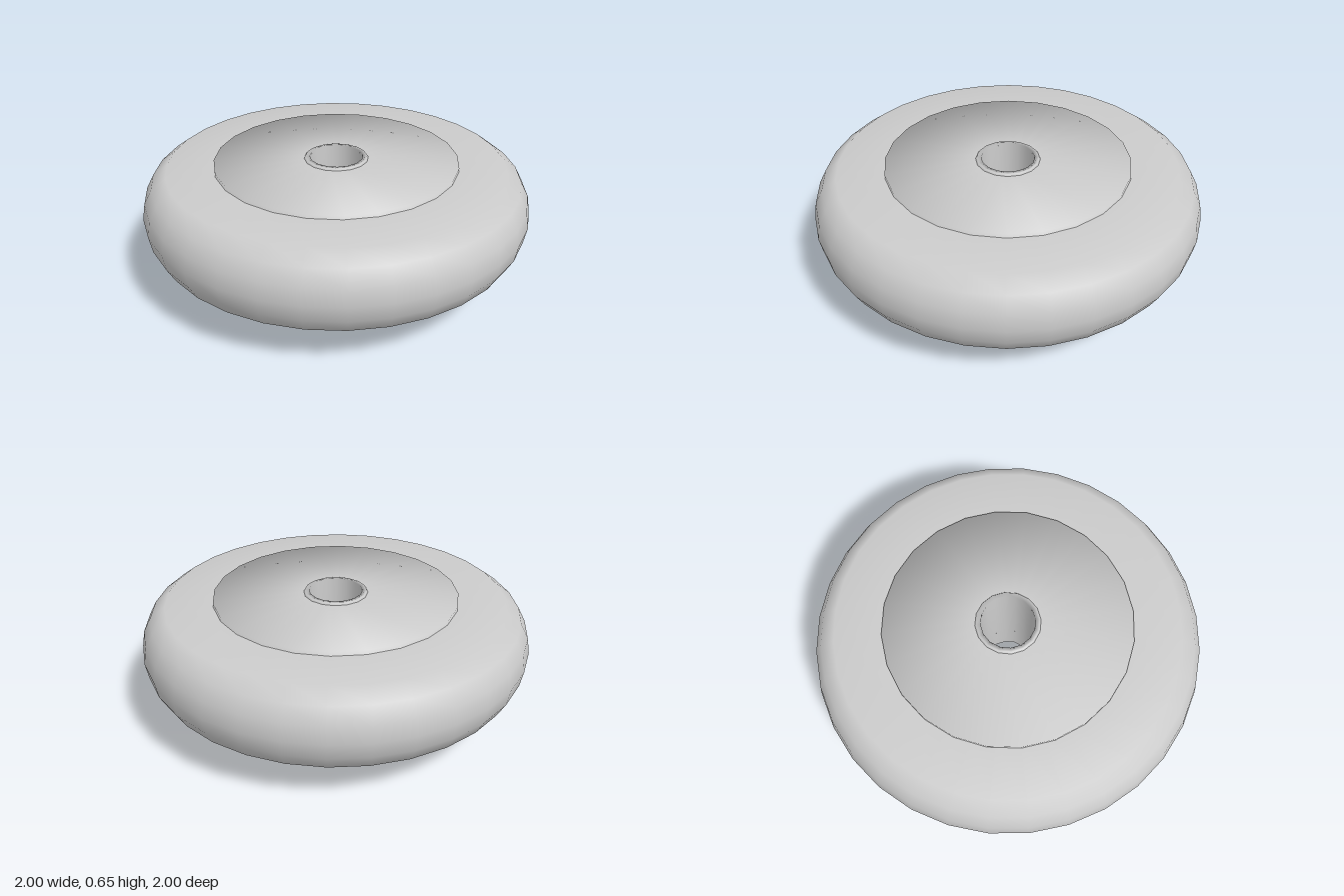
import * as THREE from 'three';
import { mergeVertices } from 'three/addons/utils/BufferGeometryUtils.js';

const HOLE = 0.137;

// Revolve a profile of [radius, height] points, optionally reshaping the radius by angle
function revolve(name, points, segments, reshape) {
  let geo = new THREE.LatheGeometry(points.map(([r, y]) => new THREE.Vector2(r, y)), segments);
  geo.deleteAttribute('uv');
  geo.deleteAttribute('normal');
  if (reshape) {
    const p = geo.attributes.position;
    for (let i = 0; i < p.count; i++) {
      const x = p.getX(i), z = p.getZ(i);
      const k = reshape(Math.hypot(x, z), Math.atan2(z, x));
      p.setX(i, x * k);
      p.setZ(i, z * k);
    }
  }
  geo = mergeVertices(geo, 1e-4);
  geo.computeVertexNormals();
  const mesh = new THREE.Mesh(geo, new THREE.MeshStandardMaterial({ color: 0xcccccc, side: THREE.DoubleSide }));
  mesh.name = name;
  return mesh;
}

export function createModel() {
  const wheel = new THREE.Group();
  wheel.name = 'wheel';

  // Rounded tyre with flat side walls
  wheel.add(revolve('tyre', [
    [0.6, 0.195], [0.87, 0.198], [0.945, 0.25], [0.985, 0.325], [1, 0.408],
    [0.985, 0.49], [0.945, 0.565], [0.87, 0.62], [0.6, 0.62],
  ], 32));

  // Hub disc filling the tyre, standing slightly proud on both sides
  wheel.add(revolve('hub', [
    [HOLE, 0.18], [0.63, 0.18], [0.63, 0.64], [HOLE, 0.64],
  ], 24));

  // Scalloped drive gear under the hub
  wheel.add(revolve('driveGear', [
    [HOLE, 0.015], [0.48, 0.015], [0.48, 0.185],
  ], 32, (r, a) => (r > 0.3 ? 1 - 0.04 * (1 - Math.cos(8 * a)) / 2 : 1)));

  // Bearing sleeve: raised lips at both ends and the axle bore
  wheel.add(revolve('bearingSleeve', [
    [HOLE, 0], [0.16, 0], [0.172, 0.02], [0.172, 0.63], [0.16, 0.65], [HOLE, 0.65], [HOLE, 0],
  ], 16));

  return wheel;
}
